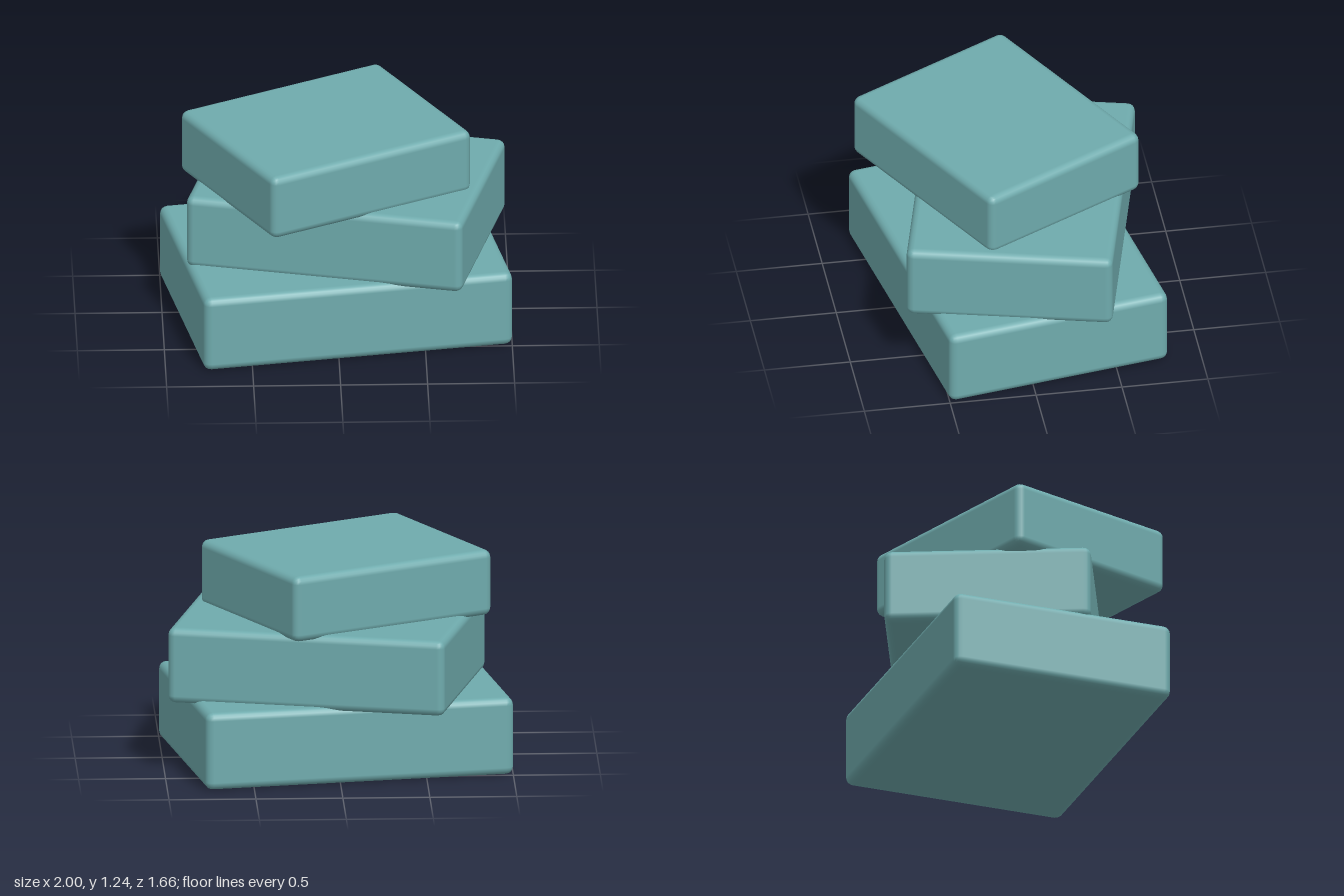
import * as THREE from 'three';
import { RoundedBoxGeometry } from 'three/addons/geometries/RoundedBoxGeometry.js';

// Stack of three twisted slabs, each slightly sunk into the one below
const SLABS = [
  { name: 'bottomSlab', size: [1.81, 1.33], y: [0, 0.455], at: [0, 0], turn: 10 },
  { name: 'middleSlab', size: [1.625, 1.19], y: [0.43, 0.875], at: [0.058, -0.065], turn: -14 },
  { name: 'topSlab', size: [1.32, 1.09], y: [0.85, 1.237], at: [-0.06, 0.058], turn: 28.3 },
];

export function createModel() {
  const model = new THREE.Group();
  model.name = 'slabStack';
  const teal = new THREE.MeshStandardMaterial({ color: 0x6fabad });
  teal.name = 'teal';

  for (const { name, size, y, at, turn } of SLABS) {
    // Softly bevelled block
    const geometry = new RoundedBoxGeometry(size[0], y[1] - y[0], size[1], 2, 0.045);
    const slab = new THREE.Mesh(geometry, teal);
    slab.name = name;
    slab.position.set(at[0], (y[0] + y[1]) / 2, at[1]);
    slab.rotation.y = THREE.MathUtils.degToRad(turn);
    model.add(slab);
  }
  return model;
}
